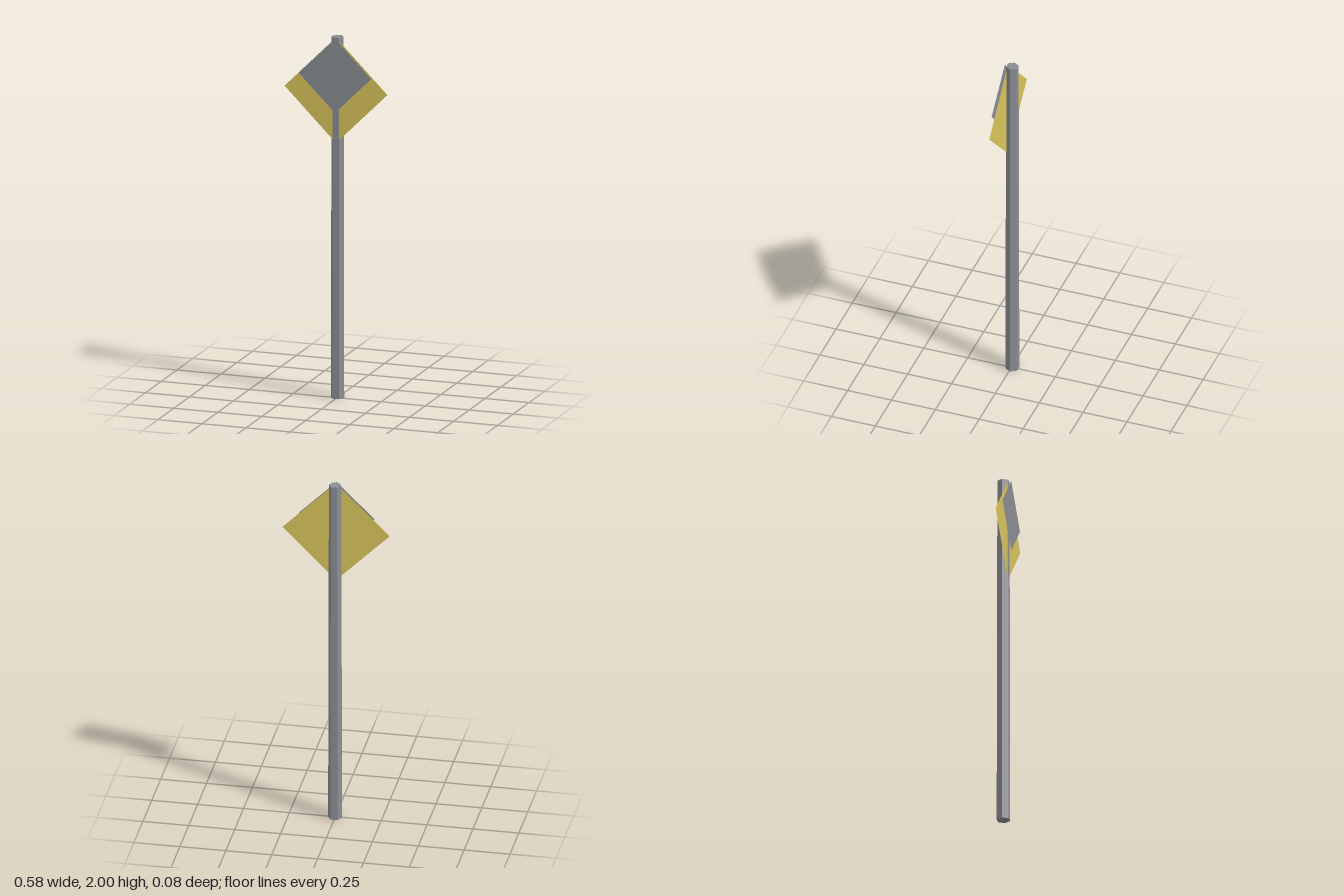
import * as THREE from 'three';

const grey = new THREE.MeshStandardMaterial({ name: 'steelGrey', color: 0x8a8d92, flatShading: true });
const greySheet = grey.clone();
greySheet.name = 'steelGreySheet';
greySheet.side = THREE.DoubleSide;
const yellow = new THREE.MeshStandardMaterial({ name: 'signYellow', color: 0xd8c45c, side: THREE.DoubleSide });

// Thin square sheet standing on one corner
function diamond(name, halfDiagonal, y, z, material) {
  const side = halfDiagonal * Math.SQRT2;
  const mesh = new THREE.Mesh(new THREE.PlaneGeometry(side, side).rotateZ(Math.PI / 4), material);
  mesh.name = name;
  mesh.position.set(0, y, z);
  return mesh;
}

export function createModel() {
  const model = new THREE.Group();
  model.name = 'roadSign';

  // Slightly tapered hexagonal post, flat side to the front
  const post = new THREE.Mesh(new THREE.CylinderGeometry(0.034, 0.038, 2, 6).rotateY(Math.PI / 6), grey);
  post.name = 'post';
  post.position.set(0, 1, -0.005);
  model.add(post);

  // Large yellow board set into the post, small grey panel in front of it
  model.add(diamond('yellowBoard', 0.292, 1.707, 0.02, yellow));
  model.add(diamond('frontPanel', 0.206, 1.792, 0.038, greySheet));

  return model;
}
